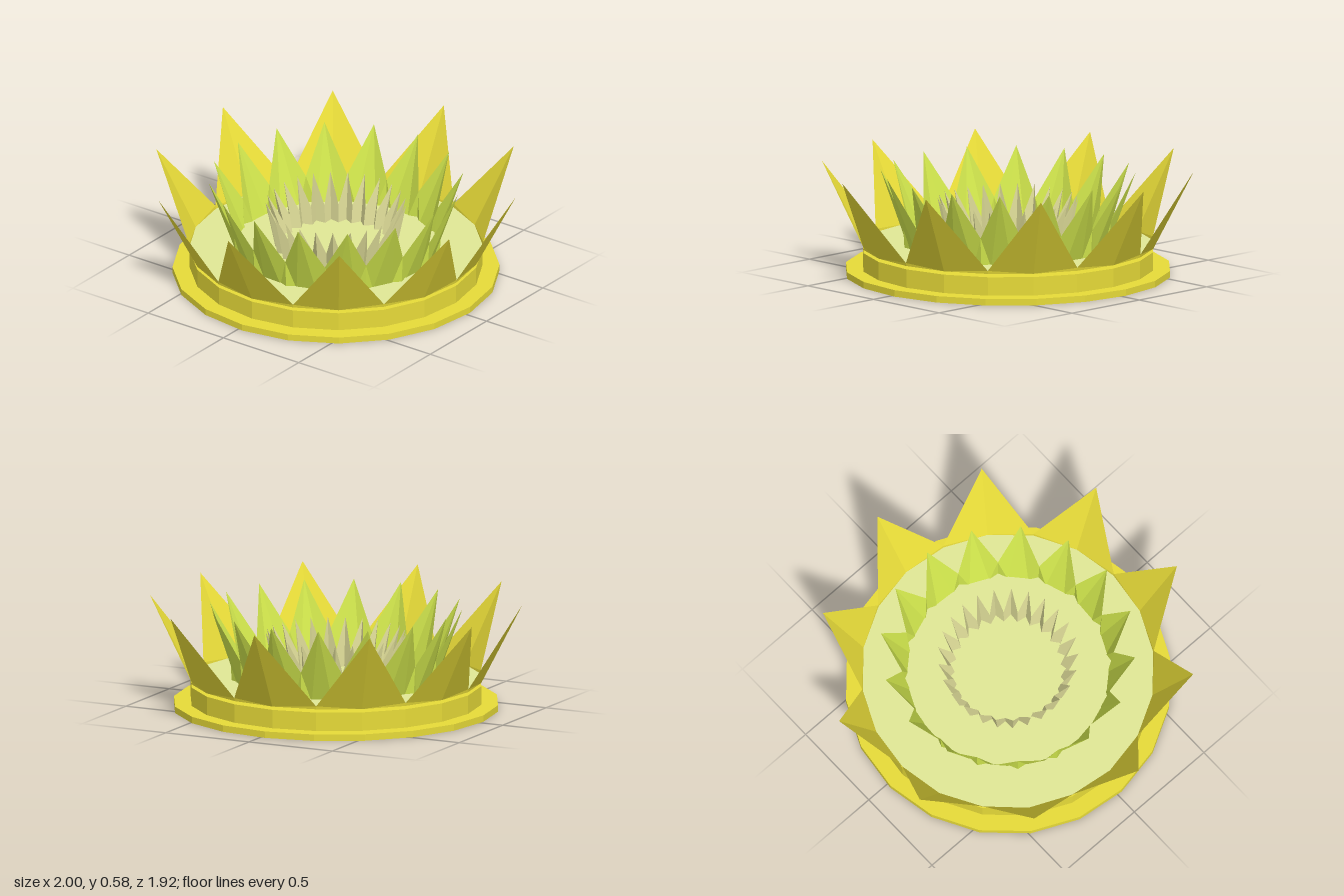
import * as THREE from 'three';

const DEG = Math.PI / 180;

function mat(name, color, side = THREE.FrontSide) {
  const m = new THREE.MeshStandardMaterial({ color, flatShading: true, side });
  m.name = name;
  return m;
}

// Point at a radius, an angle measured from +x towards +z, and a height
const polar = (r, deg, y) => [r * Math.cos(deg * DEG), y, r * Math.sin(deg * DEG)];

// Closed ring of pointed petals flaring outward.
// Each petal stands on two valley corners and some inner foot points.
function petalRing({ count, phase, footY, footR, feet, cornerR, valleyR, valleyY, tipR, tipY }) {
  const half = 180 / count;
  const pos = [];
  const tri = (a, b, c) => pos.push(...a, ...b, ...c);
  for (let i = 0; i < count; i++) {
    const mid = phase + i * 2 * half;
    const tip = polar(tipR, mid, tipY);
    const inner = feet.map((d) => polar(footR, mid + d, footY));
    const first = inner[0];
    const last = inner[inner.length - 1];
    const cornerA = polar(cornerR, mid - half, footY);
    const cornerB = polar(cornerR, mid + half, footY);
    const valleyA = polar(valleyR, mid - half, valleyY);
    const valleyB = polar(valleyR, mid + half, valleyY);
    tri(cornerA, valleyA, first);
    tri(valleyA, tip, first);
    for (let k = 1; k < inner.length; k++) tri(inner[k - 1], tip, inner[k]);
    tri(last, tip, valleyB);
    tri(last, valleyB, cornerB);
  }
  const g = new THREE.BufferGeometry();
  g.setAttribute('position', new THREE.Float32BufferAttribute(pos, 3));
  g.computeVertexNormals();
  return g;
}

export function createModel() {
  const group = new THREE.Group();
  const yellow = mat('yellow', 0xe6da38, THREE.DoubleSide);
  const green = mat('leaf green', 0xcfe44c, THREE.DoubleSide);
  const pale = mat('pale green', 0xe1e896, THREE.DoubleSide);
  const cream = mat('pale cream', 0xdedc98, THREE.DoubleSide);

  const add = (name, geometry, material) => {
    const mesh = new THREE.Mesh(geometry, material);
    mesh.name = name;
    group.add(mesh);
    return mesh;
  };

  // Two stepped twenty-sided base plates
  const plate = (name, r, y0, y1) => {
    const g = new THREE.CylinderGeometry(r, r, y1 - y0, 20, 1, false, 1.8 * DEG);
    add(name, g, yellow).position.y = (y0 + y1) / 2;
  };
  plate('basePlate', 0.87, 0, 0.035);
  plate('upperPlate', 0.78, 0.035, 0.135);

  // Thin floor just above the upper plate
  const floor = new THREE.CircleGeometry(0.78, 20, 1.8 * DEG).rotateX(-Math.PI / 2);
  add('floor', floor, pale).position.y = 0.153;

  // Three rings of petals, from large and low to small and pleated
  add('outerPetals', petalRing({
    count: 10, phase: -1.8, footY: 0.153, footR: 0.78, feet: [0], cornerR: 0.78,
    valleyR: 0.783, valleyY: 0.17, tipR: 1.0, tipY: 0.583,
  }), yellow);
  add('middlePetals', petalRing({
    count: 16, phase: 3, footY: 0.137, footR: 0.53, feet: [-6, 6], cornerR: 0.555,
    valleyR: 0.565, valleyY: 0.3, tipR: 0.68, tipY: 0.555,
  }), green);
  add('innerPetals', petalRing({
    count: 25, phase: 1.8, footY: 0.137, footR: 0.32, feet: [0], cornerR: 0.28,
    valleyR: 0.3, valleyY: 0.25, tipR: 0.375, tipY: 0.412,
  }), cream);

  return group;
}
